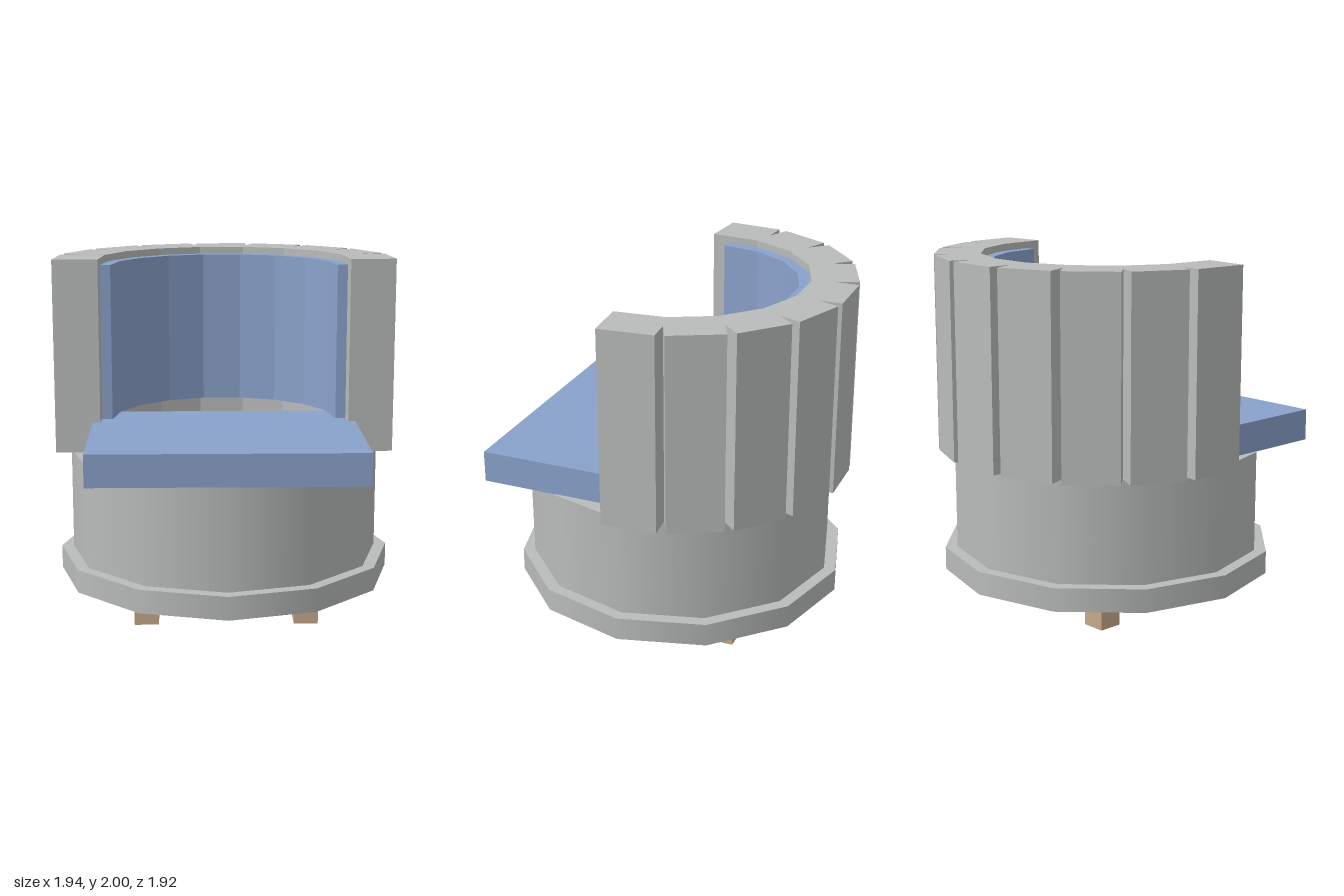
import * as THREE from 'three';

const CZ = 0.003; // z of the shared centre axis

export function createModel() {
  const model = new THREE.Group();
  model.name = 'tubChair';

  const grey = new THREE.MeshStandardMaterial({ color: 0xb9bcbb });
  grey.name = 'grey upholstery';
  const blue = new THREE.MeshStandardMaterial({ color: 0x8aa2cb });
  blue.name = 'blue cushion';
  const wood = new THREE.MeshStandardMaterial({ color: 0xc8a98b });
  wood.name = 'light wood';

  const add = (name, geometry, material, x, y, z, parent = model) => {
    const mesh = new THREE.Mesh(geometry, material);
    mesh.name = name;
    mesh.position.set(x, y, z);
    parent.add(mesh);
    return mesh;
  };

  // Twelve-sided drum and plinth, smooth around the sides
  const drum = (name, radius, y0, y1) =>
    add(name, new THREE.CylinderGeometry(radius, radius, y1 - y0, 12), grey, 0, (y0 + y1) / 2, CZ);
  drum('plinth', 0.955, 0.18, 0.312);
  drum('drum', 0.886, 0.312, 0.892);

  // Four square feet
  const footGeometry = new THREE.BoxGeometry(0.135, 0.18, 0.135);
  for (const sx of [-1, 1]) {
    for (const sz of [-1, 1]) {
      add(`${sz > 0 ? 'front' : 'back'}${sx > 0 ? 'Left' : 'Right'}Foot`,
        footGeometry, wood, sx * 0.446, 0.09, CZ + sz * 0.446);
    }
  }

  // Seat cushion
  add('seat', new THREE.BoxGeometry(1.508, 0.18, 1.106), blue, 0, 0.98, 0.338);

  // Curved back: nine padded blocks fanned round the axis
  const back = new THREE.Group();
  back.name = 'backrest';
  back.position.z = CZ;
  model.add(back);
  const inner = 0.701, outer = 0.961;
  const blockGeometry = new THREE.BoxGeometry(0.31, 1.11, outer - inner);
  for (let i = 0; i < 9; i++) {
    const a = THREE.MathUtils.degToRad(-85 + i * 21.25);
    const r = (inner + outer) / 2;
    const block = add(`backBlock${i + 1}`, blockGeometry, grey,
      Math.sin(a) * r, 1.445, -Math.cos(a) * r, back);
    block.rotation.y = -a;
  }

  // Blue lining: a faceted half ring in nine segments
  const ring = [];
  for (let i = 0; i <= 9; i++) {
    const a = (i * Math.PI) / 9;
    ring.push(new THREE.Vector2(Math.cos(a) * 0.709, Math.sin(a) * 0.709));
  }
  for (let i = 9; i >= 0; i--) {
    const a = (i * Math.PI) / 9;
    ring.push(new THREE.Vector2(Math.cos(a) * 0.646, Math.sin(a) * 0.646));
  }
  const lining = new THREE.ExtrudeGeometry(new THREE.Shape(ring), { depth: 0.89, bevelEnabled: false });
  lining.rotateX(-Math.PI / 2);
  add('backLining', lining, blue, 0, 1.07, CZ);

  return model;
}
